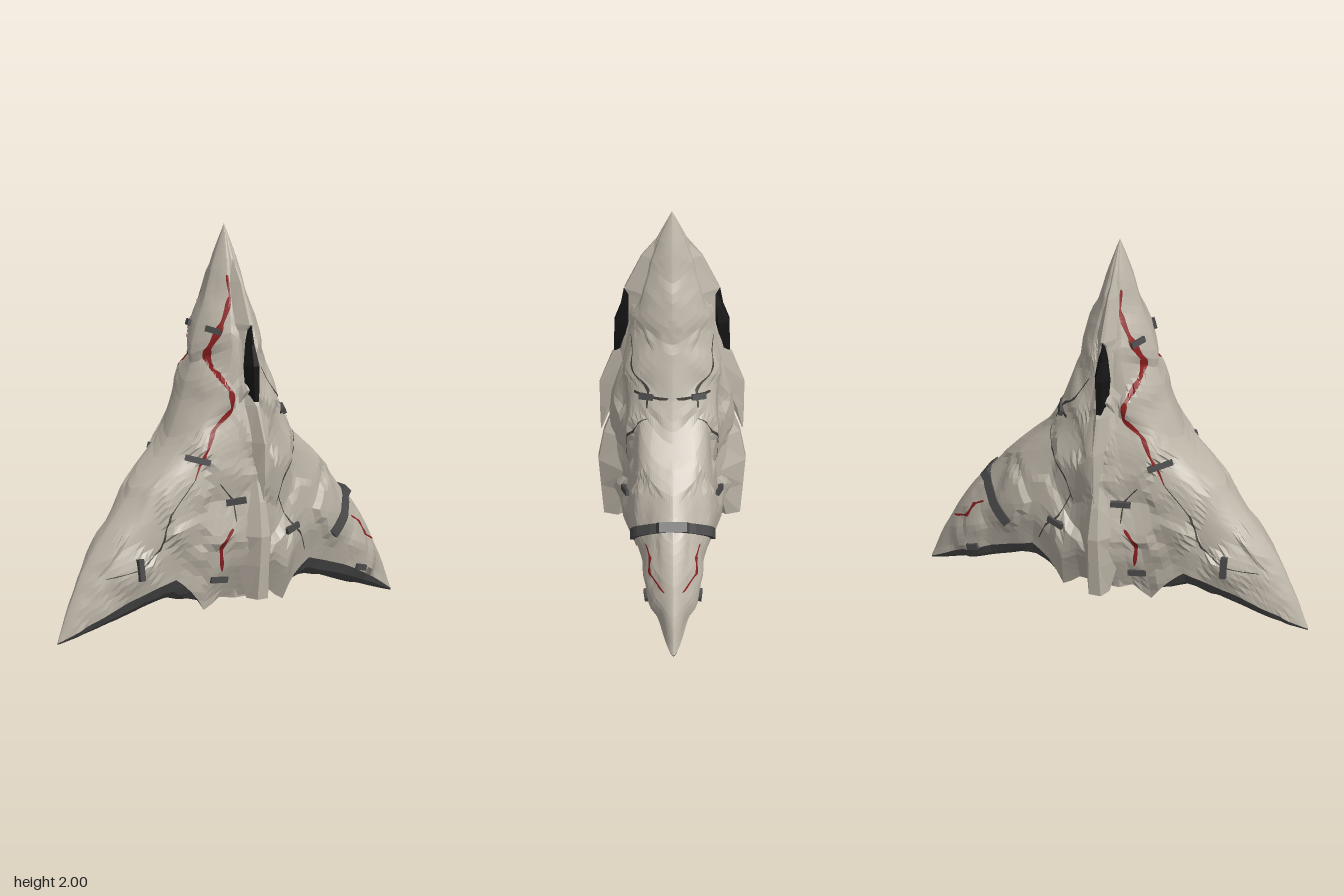
import * as THREE from 'three';

const material = (name, color) => {
  const m = new THREE.MeshStandardMaterial({ color });
  m.name = name;
  return m;
};

// Linear lookup in a short table of [key, value], keys ascending
function lookup(table, k) {
  for (let i = 1; i < table.length; i++) {
    const [k0, a] = table[i - 1], [k1, b] = table[i];
    if (k <= k1) return a + (b - a) * Math.max(0, (k - k0) / (k1 - k0));
  }
  return table[table.length - 1][1];
}

// Faceted surface: i runs to the right, j runs down, seen from outside
function grid(ni, nj, point) {
  const pos = [];
  const put = (i, j) => pos.push(...point(i, j));
  for (let j = 0; j < nj; j++) for (let i = 0; i < ni; i++) {
    put(i, j); put(i, j + 1); put(i + 1, j);
    put(i, j + 1); put(i + 1, j + 1); put(i + 1, j);
  }
  const g = new THREE.BufferGeometry();
  g.setAttribute('position', new THREE.Float32BufferAttribute(pos, 3));
  g.computeVertexNormals();
  return g;
}

// Same geometry mirrored from front to back, with corner order kept outward
function mirrorZ(geo) {
  const g = geo.index ? geo.toNonIndexed() : geo.clone();
  const p = g.attributes.position;
  for (let i = 0; i < p.count; i += 3) {
    const v = [0, 2, 1].map((k) => new THREE.Vector3().fromBufferAttribute(p, i + k));
    v.forEach((q, k) => p.setXYZ(i + k, q.x, q.y, -q.z));
  }
  g.computeVertexNormals();
  return g;
}

// Six-sided loft through rows of [y, half width, front z, back z, front flatness]
function loft(rows) {
  const rings = rows.map(([y, w, zf, zb, flat]) => {
    const zm = zb + (zf - zb) * 0.35;
    return [[-w * flat, y, zf], [w * flat, y, zf], [w, y, zm], [w * 0.5, y, zb], [-w * 0.5, y, zb], [-w, y, zm]];
  });
  const cap = ([y, , zf, zb]) => Array(6).fill([0, y, (zf + zb) / 2]);
  rings.unshift(cap(rows[0]));
  rings.push(cap(rows[rows.length - 1]));
  return grid(6, rings.length - 1, (i, j) => rings[j][i % 6]);
}

export function createModel() {
  const model = new THREE.Group();
  const stone = material('pale stone', 0xbdb5a8);
  const under = material('dark underside', 0x4c4c4d);
  const metal = material('dark metal', 0x4a4a4b);
  const gem = material('black gem', 0x141414);
  const red = material('red crack', 0x8c2020);
  const line = material('crack shadow', 0x45413c);

  const add = (name, geo, mat) => {
    const mesh = new THREE.Mesh(geo, mat);
    mesh.name = name;
    model.add(mesh);
    return mesh;
  };
  const addBoth = (name, geo, mat) => {
    add(name + 'Back', mirrorZ(geo), mat);
    return add(name + 'Front', geo, mat);
  };

  // Outline, depth and lower rim of the winged stone shell
  const halfWidth = [[0, 1], [0.15, 0.945], [0.3, 0.875], [0.45, 0.78], [0.55, 0.705], [0.68, 0.6], [0.78, 0.5], [0.85, 0.42],
    [0.93, 0.355], [1.03, 0.305], [1.13, 0.265], [1.25, 0.217], [1.32, 0.198], [1.38, 0.205], [1.5, 0.168], [1.68, 0.108], [1.82, 0.062], [2, 0]];
  const depth = [[0, 0.22], [0.3, 0.228], [0.8, 0.225], [1, 0.22], [1.3, 0.2], [1.5, 0.17], [1.82, 0.07], [2, 0]];
  const spine = [[0, 0.05], [0.4, 0.08], [0.8, 0.055], [1.2, 0.035], [1.6, 0.01], [2, 0]];
  const roundness = [[0.9, 2.6], [1.3, 1.9], [1.6, 1.4]];
  const rim = [[0, 0.16], [0.16, 0.16], [0.2, 0.1], [0.24, 0.1], [0.28, 0.17], [0.34, 0.23], [0.4, 0.28], [0.5, 0.25], [0.65, 0.2], [0.85, 0.1], [1, 0.008]];
  const belly = [[0, 0.22], [0.2, 0.2], [0.3, 0.15], [0.42, 0.185], [0.6, 0.13], [0.8, 0.065], [1, 0]];

  // Tilted chips, one per seed point, blended at narrow seams for a hewn surface
  let s = 17;
  const rand = () => (s = (s * 16807) % 2147483647) / 2147483647;
  const chips = Array.from({ length: 130 }, () => ({
    x: rand() * 2 - 1, y: rand() * 1.9, lift: (rand() - 0.5) * 0.03, tx: (rand() - 0.5) * 0.4, ty: (rand() - 0.5) * 0.35,
  }));
  const chipHeight = (x, y) => {
    let sum = 1e-9, h = 0;
    for (const c of chips) {
      const dx = x - c.x, dy = y - c.y, w = Math.exp(-(dx * dx + dy * dy * 0.6) / 0.0016);
      sum += w;
      h += w * (c.lift + c.tx * dx + c.ty * dy);
    }
    return THREE.MathUtils.clamp(h / sum, -0.028, 0.022);
  };

  const N = 34, M = 44;
  const across = (i) => Math.sin(((i - N) / N) * Math.PI / 2);
  const shellPoint = (i, j) => {
    const u = across(i), a = Math.abs(u), Y = 2 * (1 - j / M);
    const y = 2 + (Y - 2) * (2 - lookup(rim, a)) / 2, x0 = u * lookup(halfWidth, Y);
    const d = lookup(depth, Y), calm = Math.min(1, d * 6);
    const x = x0 + u * chipHeight(-x0, Y) * 0.5 * Math.min(1, Y * 3) * calm;
    const t = Math.pow(Math.max(0, 1 - Math.pow(a, lookup(roundness, Y))), 0.7);
    const ledge = 1 - 0.2 * Math.max(0, (j / M - 0.9) / 0.1);
    const ridge = lookup(spine, Y) * Math.exp(-x * x / 0.014);
    return [x, y, (d * t + ridge * t) * ledge + chipHeight(x, y) * Math.min(1, t * 2.5) * calm];
  };
  const shell = addBoth('stoneShell', grid(2 * N, M, shellPoint), stone);

  // Dark rough underside bulging below the rim
  const K = 12;
  add('underside', grid(2 * N, K, (i, j) => {
    const [x, yr, zr] = shellPoint(i, M), a = Math.abs(x), k = 1 - (2 * j) / K;
    const low = lookup(belly, a) + chipHeight(x, 1 + k * 0.25) * (1 - a);
    const y = Math.abs(k) === 1 ? yr : low + (yr - low) * Math.pow(Math.abs(k), 5);
    return [x, Math.max(0, y), zr * k];
  }), under);

  // Central block below, with dark grooves
  const block = new THREE.CylinderGeometry(0.25, 0.225, 0.15, 8).toNonIndexed();
  block.rotateY(Math.PI / 8).scale(0.88, 1, 0.95).translate(0, 0.225, 0);
  block.computeVertexNormals();
  add('centralBlock', block, stone);
  for (const z of [-0.07, 0.07]) add('blockGroove', new THREE.BoxGeometry(0.34, 0.008, 0.03).translate(0, 0.148, z), under);

  // Spine spike, lower keel and gem, front and back
  addBoth('spineSpike', loft([[1.86, 0.004, 0.06, 0.02, 0], [1.73, 0.035, 0.15, 0.05, 0.15], [1.53, 0.06, 0.235, 0.1, 0.15],
    [1.5, 0.065, 0.215, 0.1, 0.3], [1.34, 0.078, 0.215, 0.11, 0.4], [1.2, 0.066, 0.235, 0.13, 0.4], [1.13, 0.056, 0.295, 0.16, 0.15],
    [0.95, 0.038, 0.357, 0.22, 0.1], [0.8, 0.02, 0.355, 0.3, 0.1], [0.66, 0.001, 0.35, 0.345, 0]]), stone);
  addBoth('lowerKeel', loft([[0.85, 0.02, 0.27, 0.15, 0.3], [0.65, 0.09, 0.335, 0.15, 0.2], [0.48, 0.13, 0.362, 0.15, 0.2],
    [0.33, 0.09, 0.35, 0.17, 0.3], [0.16, 0.052, 0.335, 0.23, 0.6]]), stone);
  addBoth('gem', loft([[1.525, 0.003, 0.238, 0.19, 0], [1.43, 0.026, 0.252, 0.2, 0.3], [1.33, 0.042, 0.283, 0.2, 0.4],
    [1.22, 0.034, 0.285, 0.2, 0.4], [1.15, 0.022, 0.287, 0.22, 0.5]]), gem);

  // Height of the shell at a point of the front
  const ray = new THREE.Raycaster();
  const surface = (x, y) => {
    ray.set(new THREE.Vector3(x, y, 2), new THREE.Vector3(0, 0, -1));
    const hit = ray.intersectObject(shell)[0];
    return hit ? hit.point.z : 0;
  };

  // Thin ribbon laid on the shell, tapering at both ends
  const crack = (name, pts, width, mat) => {
    const path = new THREE.CatmullRomCurve3(pts.map(([x, y]) => new THREE.Vector3(x, y, 0)), false, 'catmullrom', 0.2);
    const n = pts.length * 8;
    addBoth(name, grid(2, n, (i, j) => {
      const p = path.getPoint(j / n), t = path.getTangent(j / n);
      const w = (i - 1) * width * (0.2 + 0.5 * Math.sin((Math.PI * j) / n)) * (1 + 0.3 * Math.sin(j * 0.7));
      const x = p.x - t.y * w, y = p.y + t.x * w;
      return [x, y, surface(x, y) + 0.005];
    }), mat);
  };
  crack('longRedCrack', [[-0.04, 1.76], [-0.05, 1.65], [-0.11, 1.52], [-0.16, 1.4], [-0.155, 1.3], [-0.115, 1.2], [-0.11, 1.11],
    [-0.2, 1.02], [-0.26, 0.9], [-0.32, 0.78]], 0.017, red);
  crack('lowerRedCrack', [[-0.13, 0.52], [-0.18, 0.43], [-0.165, 0.3]], 0.016, red);
  crack('wingRedCrack', [[0.67, 0.45], [0.73, 0.41], [0.77, 0.34], [0.86, 0.29]], 0.01, red);
  [
    [[0.08, 1.3], [0.16, 1.17], [0.25, 1.08], [0.29, 1.0]],
    [[0.31, 0.95], [0.28, 0.85], [0.2, 0.72], [0.16, 0.6]],
    [[0.17, 0.64], [0.24, 0.5], [0.31, 0.43], [0.36, 0.33]],
    [[-0.32, 0.78], [-0.45, 0.62], [-0.5, 0.45], [-0.63, 0.36], [-0.78, 0.32]],
    [[-0.19, 0.75], [-0.12, 0.66], [-0.11, 0.55]],
  ].forEach((pts, i) => crack('thinCrack' + i, pts, 0.006, line));

  // Metal staples: [x, y, length, angle in degrees]
  [[-0.135, 1.495, 0.085, -18], [-0.29, 0.875, 0.13, -17], [0.26, 1.05, 0.075, 22], [-0.105, 0.655, 0.1, 8],
    [0.25, 0.465, 0.09, 15], [-0.62, 0.36, 0.11, 92], [-0.17, 0.255, 0.09, -3], [0.73, 0.18, 0.06, -15]].forEach(([x, y, len, deg], i) => {
    const a = (deg * Math.PI) / 180, dx = Math.cos(a) * len / 2, dy = Math.sin(a) * len / 2;
    const end = (k) => new THREE.Vector3(x + k * dx, y + k * dy, surface(x + k * dx, y + k * dy));
    const p = end(-1), q = end(1), X = q.clone().sub(p).normalize();
    const Y = new THREE.Vector3(0, 0, 1).cross(X).normalize(), Z = X.clone().cross(Y);
    const mid = p.add(q).multiplyScalar(0.5);
    mid.z = Math.max(mid.z, surface(x, y)) + 0.002;
    const place = new THREE.Matrix4().makeBasis(X, Y, Z).setPosition(mid);
    addBoth('staple' + i, new THREE.BoxGeometry(len, 0.03, 0.026).applyMatrix4(place), metal);
  });

  // Bands wrapped over the leading edge
  const band = (name, [x, y], angle, length, width, lift, edge, mat) => {
    const T = new THREE.Vector3(Math.cos(angle), Math.sin(angle), 0), Z = new THREE.Vector3(0, 0, 1);
    const W = T.clone().cross(Z), n = 10, pts = [];
    for (let i = 0; i <= n; i++) {
      const t = (length * i) / n;
      const z = [-1, 0, 1].map((k) => surface(x + T.x * t + W.x * k * width / 2, y + T.y * t + W.y * k * width / 2));
      pts.push(new THREE.Vector2(i === n ? length + lift : t, i === n ? edge : Math.max(...z) + lift));
    }
    const back = pts.map((p) => new THREE.Vector2(p.x, -p.y)).reverse();
    const geo = new THREE.ExtrudeGeometry(new THREE.Shape([...pts, ...back]), { depth: width, bevelEnabled: false });
    geo.translate(0, 0, -width / 2).applyMatrix4(new THREE.Matrix4().makeBasis(T, Z, W).setPosition(x, y, 0));
    add(name, geo, mat);
  };
  band('wingStrap', [0.515, 0.39], Math.PI / 4, 0.25, 0.05, 0.01, 0.07, metal);
  band('shoulderTie', [0.21, 1.045], 0.15, 0.082, 0.012, 0.004, 0.06, line);

  return model;
}
